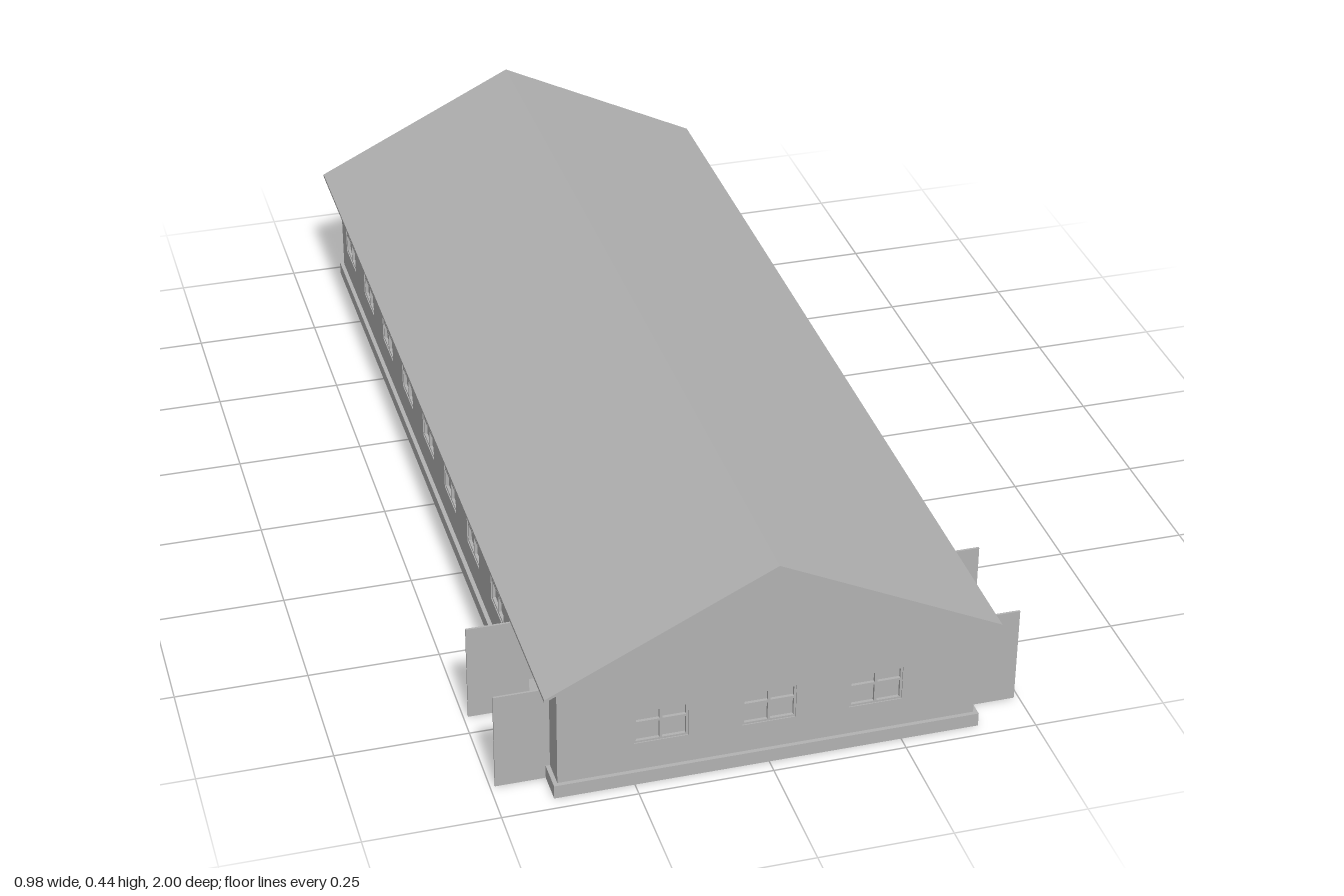
import * as THREE from 'three';

const grey = new THREE.MeshStandardMaterial({ color: 0xb2b2b2 });
grey.name = 'painted grey';

const HALF_W = 0.39, HALF_L = 0.965, WALL = 0.015, EAVE = 0.247, RIDGE = 0.437;
const WIN_W = 0.1, WIN_H = 0.07, WIN_Y = 0.12;
const GATE_BACK = 0.7, GATE_FRONT = 0.91, GATE_H = 0.197;
const PLINTH_H = 0.027, PLINTH_OUT = 0.008;

export function createModel() {
  const model = new THREE.Group();
  model.name = 'barn';

  const add = (name, geometry, parent = model) => {
    const mesh = new THREE.Mesh(geometry, grey);
    mesh.name = name;
    parent.add(mesh);
    return mesh;
  };
  const box = (name, w, h, d, x, y, z, parent = model) =>
    add(name, new THREE.BoxGeometry(w, h, d).translate(x, y, z), parent);
  const polygon = (points) => new THREE.Shape(points.map(([x, y]) => new THREE.Vector2(x, y)));
  const hole = (x, y, w, h) => new THREE.Path([
    [x - w / 2, y - h / 2], [x - w / 2, y + h / 2], [x + w / 2, y + h / 2], [x + w / 2, y - h / 2],
  ].map(([a, b]) => new THREE.Vector2(a, b)));
  const extrude = (shape, depth) => new THREE.ExtrudeGeometry(shape, { depth, bevelEnabled: false });

  // Window: pane set back in the wall, with a thin frame and crossed bars
  function addWindow(x, z, angle) {
    const win = new THREE.Group();
    win.name = 'window';
    box('pane', WIN_W, WIN_H, 0.002, 0, 0, -0.009, win);
    box('uprightBar', 0.005, WIN_H, 0.006, 0, 0, -0.005, win);
    box('crossBar', WIN_W, 0.005, 0.006, 0, 0.008, -0.005, win);
    for (const s of [-1, 1]) {
      box('frameSide', 0.004, WIN_H, 0.006, s * (WIN_W / 2 - 0.002), 0, -0.005, win);
      box('frameRail', WIN_W, 0.004, 0.006, 0, s * (WIN_H / 2 - 0.002), -0.005, win);
    }
    win.position.set(x, WIN_Y, z);
    win.rotation.y = angle;
    model.add(win);
  }

  // Gable walls and the inner partition
  function gable(name, z, windowXs) {
    const shape = polygon([[-HALF_W, 0], [HALF_W, 0], [HALF_W, EAVE], [0, RIDGE], [-HALF_W, EAVE]]);
    for (const x of windowXs) shape.holes.push(hole(x, WIN_Y, WIN_W, WIN_H));
    add(name, extrude(shape, WALL).translate(0, 0, z));
  }
  const frontXs = [-0.2, 0, 0.2], backXs = [-0.235, 0.235];
  gable('frontWall', HALF_L - WALL, frontXs);
  gable('backWall', -HALF_L, backXs);
  const inner = HALF_W - WALL;
  add('partition', extrude(polygon([
    [-inner, 0], [inner, 0], [inner, EAVE], [0, RIDGE], [-inner, EAVE],
  ]), 0.01).translate(0, 0, 0.61));
  frontXs.forEach((x) => addWindow(x, HALF_L, 0));
  backXs.forEach((x) => addWindow(x, -HALF_L, Math.PI));

  // Back door panel, standing slightly proud of the wall
  box('backDoor', 0.22, 0.18, 0.004, 0, 0.09, -HALF_L - 0.002);

  // Long walls, each with a gateway near the front and a row of windows
  const sideZs = Array.from({ length: 8 }, (_, i) => -0.87 + i * 0.198);
  const end = HALF_L - WALL;
  for (const s of [-1, 1]) {
    const side = polygon([
      [-end, 0], [GATE_BACK, 0], [GATE_BACK, GATE_H], [GATE_FRONT, GATE_H],
      [GATE_FRONT, 0], [end, 0], [end, EAVE], [-end, EAVE],
    ]);
    for (const z of sideZs) side.holes.push(hole(z, WIN_Y, WIN_W, WIN_H));
    const geometry = extrude(side, WALL).rotateY(-Math.PI / 2);
    add('sideWall', geometry.translate(s > 0 ? HALF_W : -HALF_W + WALL, 0, 0));
    sideZs.forEach((z) => addWindow(s * HALF_W, z, s * Math.PI / 2));

    // Gate leaves swung fully open
    for (const z of [GATE_BACK, GATE_FRONT]) {
      box('gateLeaf', 0.103, 0.195, 0.004, s * (HALF_W + 0.0495), 0.0975, z);
    }

    // Plinth along the long wall, broken at the gateway
    const far = HALF_L + PLINTH_OUT;
    for (const [a, b] of [[-far, GATE_BACK], [GATE_FRONT, far]]) {
      box('sidePlinth', PLINTH_OUT, PLINTH_H, b - a, s * (HALF_W + PLINTH_OUT / 2), PLINTH_H / 2, (a + b) / 2);
    }
    // Back plinth, broken at the door
    box('backPlinth', HALF_W - 0.11, PLINTH_H, PLINTH_OUT,
      s * (HALF_W + 0.11) / 2, PLINTH_H / 2, -HALF_L - PLINTH_OUT / 2);
  }
  box('frontPlinth', HALF_W * 2, PLINTH_H, PLINTH_OUT, 0, PLINTH_H / 2, HALF_L + PLINTH_OUT / 2);

  // Thin pitched roof with overhanging eaves
  add('roof', extrude(polygon([
    [-0.42, 0.234], [0, RIDGE], [0.42, 0.234], [0.42, 0.24], [0, 0.444], [-0.42, 0.24],
  ]), 2).translate(0, 0, -1));

  return model;
}
